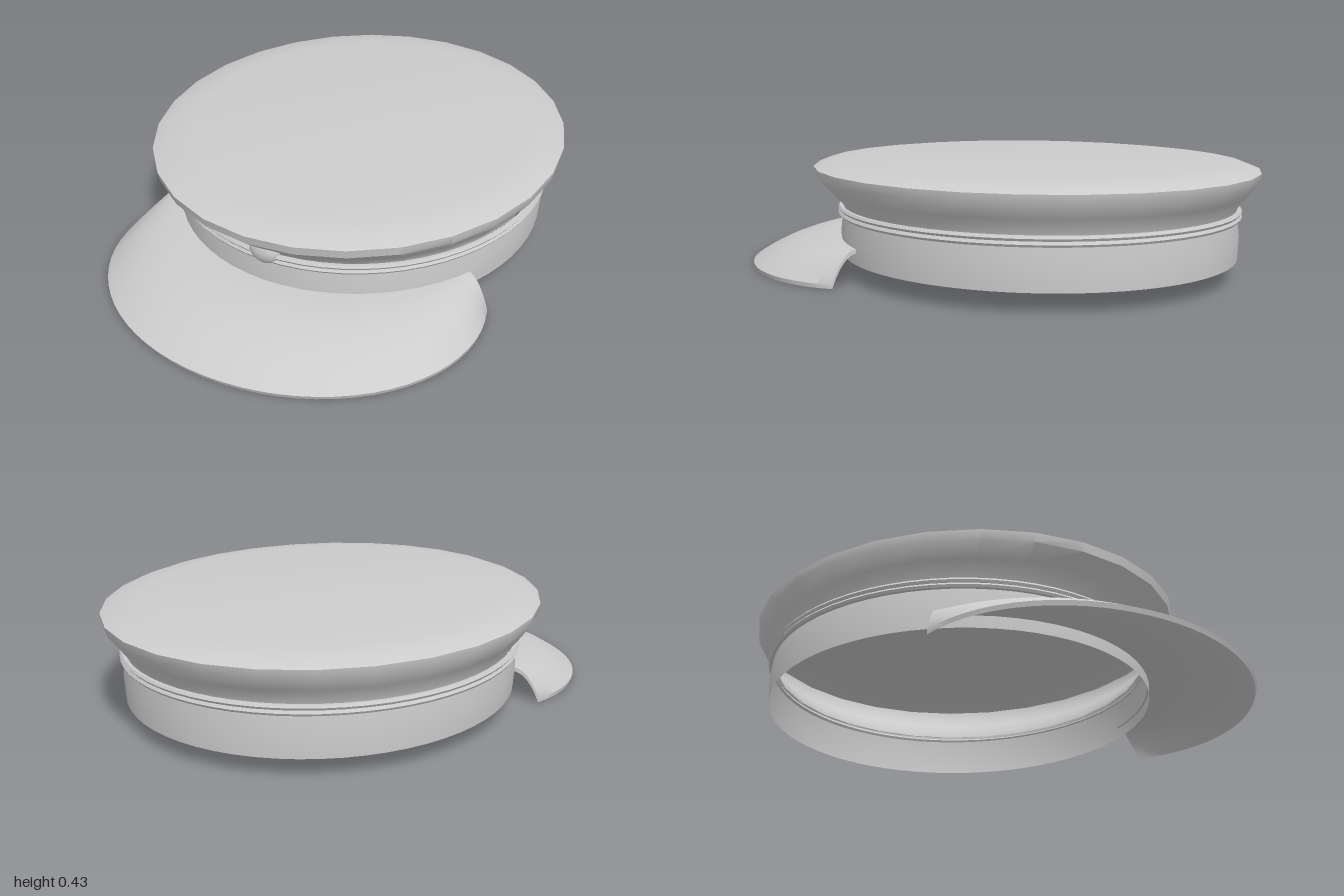
import * as THREE from 'three';
import { toCreasedNormals, mergeVertices } from 'three/addons/utils/BufferGeometryUtils.js';

const cloth = new THREE.MeshStandardMaterial({ color: 0xcccccc, side: THREE.DoubleSide });
cloth.name = 'light grey';

// Surface through a grid of points: point(i, j) returns [x, y, z]
function grid(rows, cols, point, crease = 0.6) {
  const pos = [], idx = [];
  for (let i = 0; i <= rows; i++) {
    for (let j = 0; j <= cols; j++) pos.push(...point(i, j));
  }
  for (let i = 0; i < rows; i++) {
    for (let j = 0; j < cols; j++) {
      const a = i * (cols + 1) + j, b = a + 1, c = a + cols + 1, d = c + 1;
      idx.push(a, b, d, a, d, c);
    }
  }
  const geo = new THREE.BufferGeometry();
  geo.setAttribute('position', new THREE.Float32BufferAttribute(pos, 3));
  geo.setIndex(idx);
  return toCreasedNormals(mergeVertices(geo, 1e-5), crease);
}

// Elliptical loft through rings of [y, radiusX, radiusZ, centreZ]
function loft(rings, segments) {
  return grid(rings.length - 1, segments, (i, j) => {
    const [y, rx, rz, cz] = rings[i];
    const a = ((j % segments) / segments) * Math.PI * 2;
    return [rx * Math.sin(a), y, cz + rz * Math.cos(a)];
  });
}

export function createModel() {
  const group = new THREE.Group();
  const add = (name, geo) => {
    const mesh = new THREE.Mesh(geo, cloth);
    mesh.name = name;
    group.add(mesh);
    return mesh;
  };

  // Flared crown with a softly domed top, open below
  add('crown', loft([
    [0.245, 0.70, 0.745, -0.16],
    [0.265, 0.705, 0.752, -0.158],
    [0.315, 0.742, 0.80, -0.148],
    [0.365, 0.776, 0.848, -0.14],
    [0.398, 0.78, 0.855, -0.14],
    [0.416, 0.735, 0.81, -0.14],
    [0.427, 0.64, 0.71, -0.14],
    [0.431, 0, 0, -0.14],
  ], 28));

  // Upright head band
  add('band', loft([
    [0.075, 0.71, 0.757, -0.16],
    [0.16, 0.715, 0.76, -0.16],
    [0.25, 0.705, 0.75, -0.16],
  ], 64));

  // Two cords round the top of the band
  for (const y of [0.232, 0.251]) {
    const rings = [];
    for (let k = 0; k <= 6; k++) {
      const a = ((k % 6) / 6) * Math.PI * 2;
      const out = 0.011 * Math.cos(a);
      rings.push([y + 0.01 * Math.sin(a), 0.715 + out, 0.757 + out, -0.16]);
    }
    add('cord', loft(rings, 64));
  }

  // Front button
  const button = add('button', new THREE.SphereGeometry(1, 16, 12));
  button.scale.set(0.06, 0.05, 0.033);
  button.position.set(0, 0.262, 0.59);

  // Curved visor: blends from the band ellipse out to the rim ellipse
  const V = 7, U = 40;
  const visorPoint = (u, v, under) => {
    const t = u * THREE.MathUtils.degToRad(104), s = u * THREE.MathUtils.degToRad(60);
    const inner = [0.705 * Math.sin(s), -0.16 + 0.75 * Math.cos(s)];
    const outer = [0.73 * Math.sin(t), 0.4 + 0.6 * Math.cos(t)];
    const k = under ? v * 0.985 : v;
    const y = 0.136 - 0.116 * Math.pow(v, 2.2) - (under ? 0.016 : 0);
    return [
      THREE.MathUtils.lerp(inner[0], outer[0], k),
      y,
      THREE.MathUtils.lerp(inner[1], outer[1], k),
    ];
  };
  // Closed section: over the top, round the rim and back underneath
  const section = [];
  for (let i = 0; i <= V; i++) section.push([i / V, false]);
  for (let i = V; i >= 0; i--) section.push([i / V, true]);
  section.push(section[0]);
  add('visor', grid(section.length - 1, U, (i, j) => visorPoint((j / U) * 2 - 1, ...section[i])));
  for (const side of [-1, 1]) {
    add('visorEnd', grid(1, V, (i, j) => visorPoint(side, j / V, (i === 0) === (side > 0))));
  }

  // Stand the rim on the ground
  const box = new THREE.Box3().setFromObject(group);
  for (const child of group.children) child.position.y -= box.min.y;
  return group;
}
